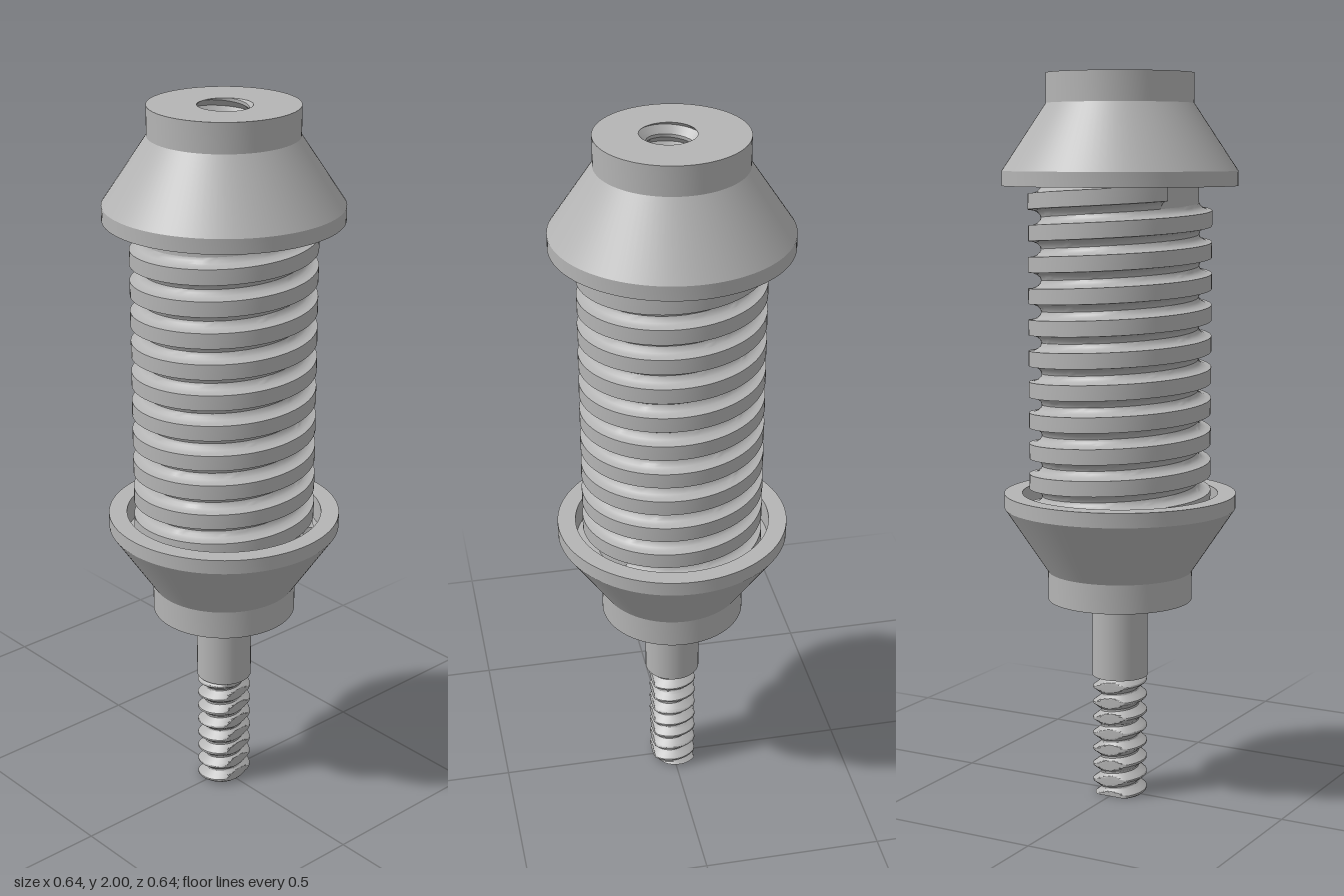
import * as THREE from 'three';
import { toCreasedNormals } from 'three/addons/utils/BufferGeometryUtils.js';

const TAU = Math.PI * 2;

// Quad grid: at(i, j) gives a point; i runs round the axis, j runs upwards
function gridGeometry(cols, rows, at, { inward = false, capEnds = false } = {}) {
  const pos = [], idx = [], n = rows + 1;
  for (let i = 0; i <= cols; i++) for (let j = 0; j <= rows; j++) pos.push(...at(i, j));
  const tri = (a, b, c) => (inward ? idx.push(a, c, b) : idx.push(a, b, c));
  for (let i = 0; i < cols; i++) for (let j = 0; j < rows; j++) {
    const a = i * n + j, b = a + n;
    tri(a, b, b + 1);
    tri(a, b + 1, a + 1);
  }
  if (capEnds) {
    for (const i of [0, cols]) {
      const m = at(i, Math.floor(rows / 2)), c = pos.length / 3;
      pos.push(m[0] * 0.8, m[1], m[2] * 0.8);
      for (let j = 0; j < rows; j++) {
        const p = i * n + j;
        if (i === 0) tri(c, p, p + 1); else tri(c, p + 1, p);
      }
    }
  }
  const g = new THREE.BufferGeometry();
  g.setAttribute('position', new THREE.Float32BufferAttribute(pos, 3));
  g.setIndex(idx);
  return toCreasedNormals(g, 0.6);
}

const lathe = (pts) => toCreasedNormals(
  new THREE.LatheGeometry(pts.map(([r, y]) => new THREE.Vector2(r, y)), 96), 0.4);

// Distance (0 to 0.5) from the crest of a right-handed thread
function crestDistance(t, y, pitch, t0, y0) {
  const f = (y - y0) / pitch - (t - t0) / TAU;
  return Math.abs(f - Math.round(f));
}

export function createModel() {
  const model = new THREE.Group();
  const grey = new THREE.MeshStandardMaterial({ color: 0xb4b4b4 });
  grey.name = 'grey';
  const add = (name, geometry) => {
    const mesh = new THREE.Mesh(geometry, grey);
    mesh.name = name;
    model.add(mesh);
    return mesh;
  };

  // Flared end caps, each with a recess for the threaded barrel
  add('lowerCap', lathe([[0, 0.56], [0.2, 0.56], [0.2, 0.64], [0.32, 0.82],
    [0.32, 0.86], [0.27, 0.86], [0.27, 0.79], [0, 0.79]]));
  add('upperCap', lathe([[0.1, 1.77], [0.27, 1.77], [0.27, 1.7], [0.32, 1.7],
    [0.32, 1.74], [0.2, 1.92], [0.2, 2]]));

  // Barrel core
  add('barrelCore', new THREE.CylinderGeometry(0.214, 0.214, 0.98, 72, 1, true)).position.y = 1.28;

  // Barrel thread: flat crests with rounded grooves between them
  const pitch = 0.085, half = 0.021, gap = pitch / 2 - half;
  const profile = [];
  for (let k = 0; k <= 4; k++) {
    const a = (k / 4) * Math.PI / 2;
    profile.push([-pitch / 2 + gap * Math.sin(a), 0.25 - 0.035 * Math.cos(a)]);
  }
  for (let k = 4; k >= 0; k--) profile.push([-profile[k][0], profile[k][1]]);
  const tEnd = -0.55, yEnd = 1.685, turns = 10.54, steps = 760;
  add('barrelThread', gridGeometry(steps, profile.length - 1, (i, j) => {
    const back = turns * (1 - i / steps);
    const t = tEnd - back * TAU;
    const [dy, r] = profile[j];
    return [r * Math.sin(t), yEnd - back * pitch + dy, r * Math.cos(t)];
  }, { capEnds: true }));

  // Plain shank below the lower cap
  add('shank', new THREE.CylinderGeometry(0.0775, 0.0775, 0.22, 48)).position.y = 0.45;

  // Threaded stud, trimmed flat on both sides
  const fine = 0.045, seg = 32;
  const studPoint = (t, y) => {
    const d = crestDistance(t, y, fine, 0, 0.01);
    const r = 0.076 - 0.022 * Math.min(1, Math.max(0, d - 0.06) / 0.38);
    return [THREE.MathUtils.clamp(r * Math.sin(t), -0.06, 0.06), y, r * Math.cos(t)];
  };
  const studRows = 248, studTop = 0.345;
  add('studThread', gridGeometry(seg, studRows, (i, j) =>
    studPoint((i / seg) * TAU, (j / studRows) * studTop)));
  const endOutline = [];
  for (let i = 0; i < seg; i++) {
    const p = studPoint((i / seg) * TAU, 0);
    endOutline.push(new THREE.Vector2(p[0], p[2]));
  }
  add('studEnd', new THREE.ShapeGeometry(new THREE.Shape(endOutline)).rotateX(Math.PI / 2));

  // Threaded socket in the upper cap
  const socketRadius = (t, y) =>
    0.065 + 0.02 * Math.max(0, 1 - crestDistance(t, y, fine, 1.2, 2) / 0.4);
  const socketFloor = 1.69, socketRows = 220;
  add('socketThread', gridGeometry(seg, socketRows, (i, j) => {
    const t = (i / seg) * TAU, y = socketFloor + (j / socketRows) * (2 - socketFloor);
    const r = socketRadius(t, y);
    return [r * Math.sin(t), y, r * Math.cos(t)];
  }, { inward: true }));
  add('socketFloor', new THREE.CircleGeometry(0.09, 32).rotateX(-Math.PI / 2)).position.y = socketFloor;

  // Top face, cut out to match the socket mouth
  const face = new THREE.Shape().absarc(0, 0, 0.2, 0, TAU, false);
  const mouth = [];
  for (let i = 0; i < seg; i++) {
    const t = (i / seg) * TAU, r = socketRadius(t, 2);
    mouth.push(new THREE.Vector2(r * Math.sin(t), -r * Math.cos(t)));
  }
  face.holes.push(new THREE.Path(mouth));
  add('topFace', new THREE.ShapeGeometry(face, 96).rotateX(-Math.PI / 2)).position.y = 2;

  return model;
}
